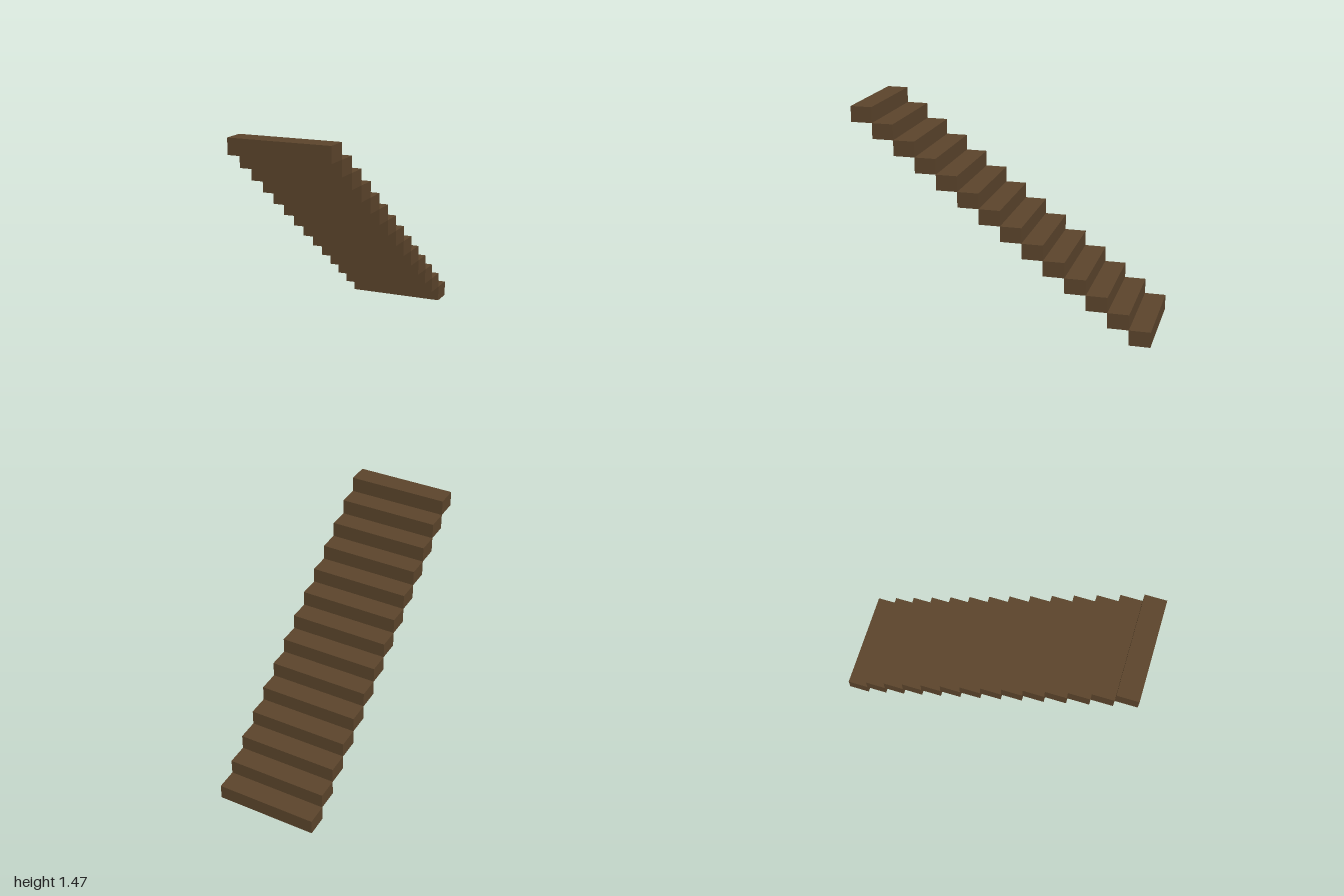
import * as THREE from 'three';

const STEPS = 14;
const WIDTH = 0.68;
const TOTAL_RISE = 1.47;
const TOTAL_RUN = 2;

export function createModel() {
  const group = new THREE.Group();
  group.name = 'staircase';

  const wood = new THREE.MeshStandardMaterial({ color: 0x5c452c });
  wood.name = 'dark brown wood';

  // Solid block steps, touching edge to edge, climbing from back to front
  const rise = TOTAL_RISE / STEPS;
  const run = TOTAL_RUN / STEPS;
  const block = new THREE.BoxGeometry(WIDTH, rise, run);
  for (let i = 0; i < STEPS; i++) {
    const step = new THREE.Mesh(block, wood);
    step.name = `step${i + 1}`;
    step.position.set(0, (i + 0.5) * rise, -TOTAL_RUN / 2 + (i + 0.5) * run);
    group.add(step);
  }
  return group;
}
